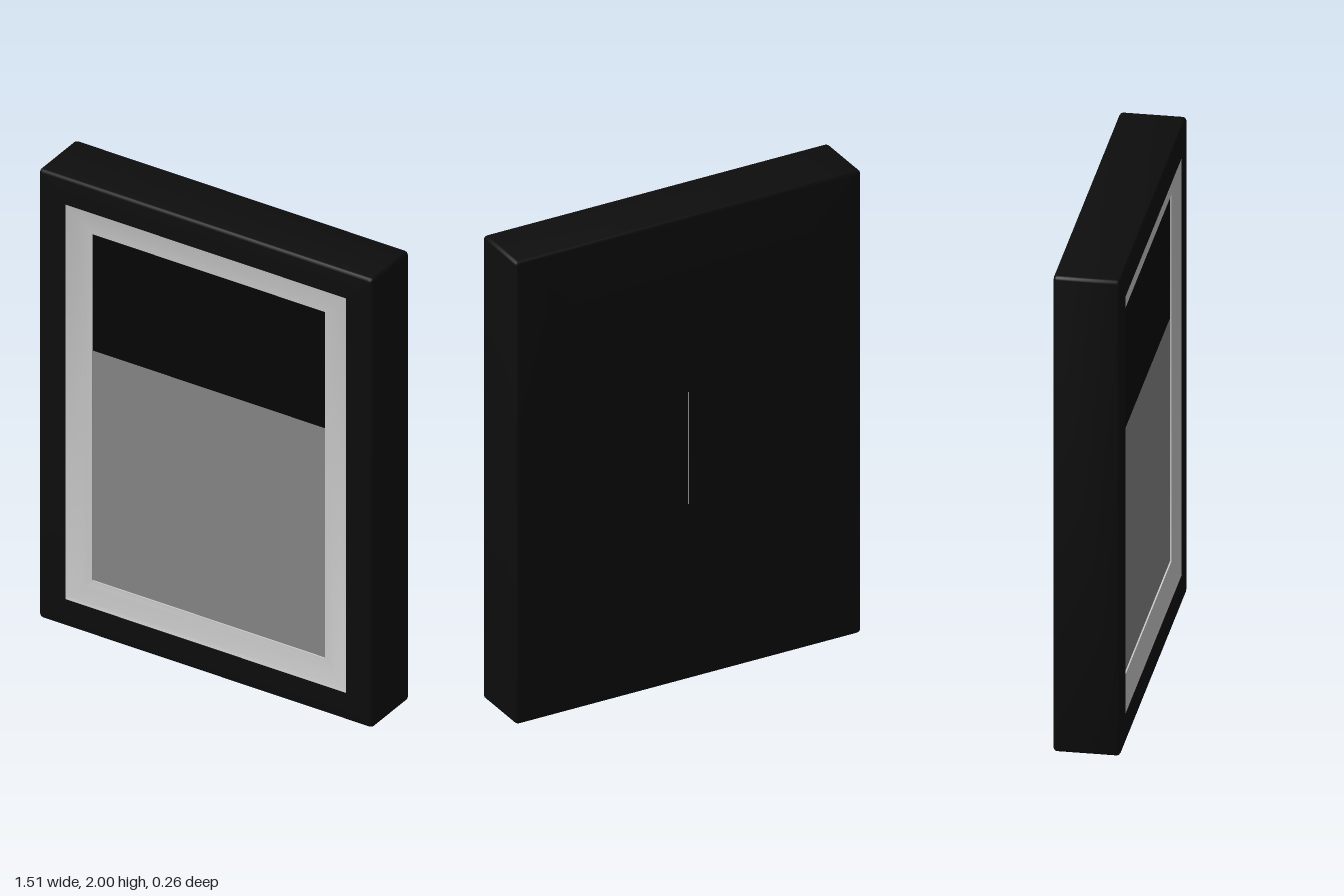
import * as THREE from 'three';
import { toCreasedNormals } from 'three/addons/utils/BufferGeometryUtils.js';

const HALF_W = 0.757, HALF_H = 1, HALF_D = 0.13;

// Rounded rectangle, inset from the outer outline, counter-clockwise from the front
function ring([inset, z, r = 0.001]) {
  const w = Math.max(HALF_W - inset - r, 0), h = HALF_H - inset - r;
  const points = [];
  [[1, 1], [-1, 1], [-1, -1], [1, -1]].forEach(([sx, sy], corner) => {
    for (let k = 0; k <= 3; k++) {
      const a = (corner + k / 3) * Math.PI / 2;
      points.push([sx * w + r * Math.cos(a), HALF_H + sy * h + r * Math.sin(a), z]);
    }
  });
  return points;
}

// Skin a profile of [inset, z, corner radius] running from the back outwards to the front
function moulding(profile) {
  const rings = profile.map(ring), n = rings[0].length, index = [];
  for (let i = 0; i < rings.length - 1; i++) {
    for (let j = 0; j < n; j++) {
      const a = i * n + j, b = i * n + (j + 1) % n;
      index.push(a, b, b + n, a, b + n, a + n);
    }
  }
  const geometry = new THREE.BufferGeometry();
  geometry.setAttribute('position', new THREE.Float32BufferAttribute(rings.flat(2), 3));
  geometry.setIndex(index);
  return toCreasedNormals(geometry, Math.PI / 5);
}

export function createModel() {
  const group = new THREE.Group();
  const add = (name, geometry, color) => {
    const mesh = new THREE.Mesh(geometry, new THREE.MeshStandardMaterial({ color }));
    mesh.name = name;
    group.add(mesh);
    return mesh;
  };

  // Black frame with closed back and softly rounded outer edges
  const R = 0.014, profile = [[HALF_W, -HALF_D]];
  for (const [side, start] of [[-1, -Math.PI / 2], [1, 0]]) {
    for (let k = 0; k <= 3; k++) {
      const a = start + k * Math.PI / 6;
      profile.push([R - R * Math.cos(a), side * (HALF_D - R) + R * Math.sin(a), R]);
    }
  }
  profile.push([0.12, HALF_D], [0.12, 0.09]);
  add('frame', moulding(profile), 0x0d0d0d);

  // Pale mount, hollowed gently down to the picture
  const cove = [];
  for (let k = 0; k <= 6; k++) {
    const t = k / 6;
    cove.push([0.12 + 0.108 * t, 0.108 + 0.02 * (1 - t) ** 1.5]);
  }
  cove.push([0.228, 0.098]);
  add('mount', moulding(cove), 0xcccccc);

  // Picture in two fields: dark above, grey below
  const field = (name, bottom, top, color) => {
    add(name, new THREE.PlaneGeometry(1.064, top - bottom), color)
      .position.set(0, (top + bottom) / 2, 0.102);
  };
  field('pictureLower', 0.225, 1.25, 0x888888);
  field('pictureUpper', 1.25, 1.775, 0x060606);

  return group;
}
